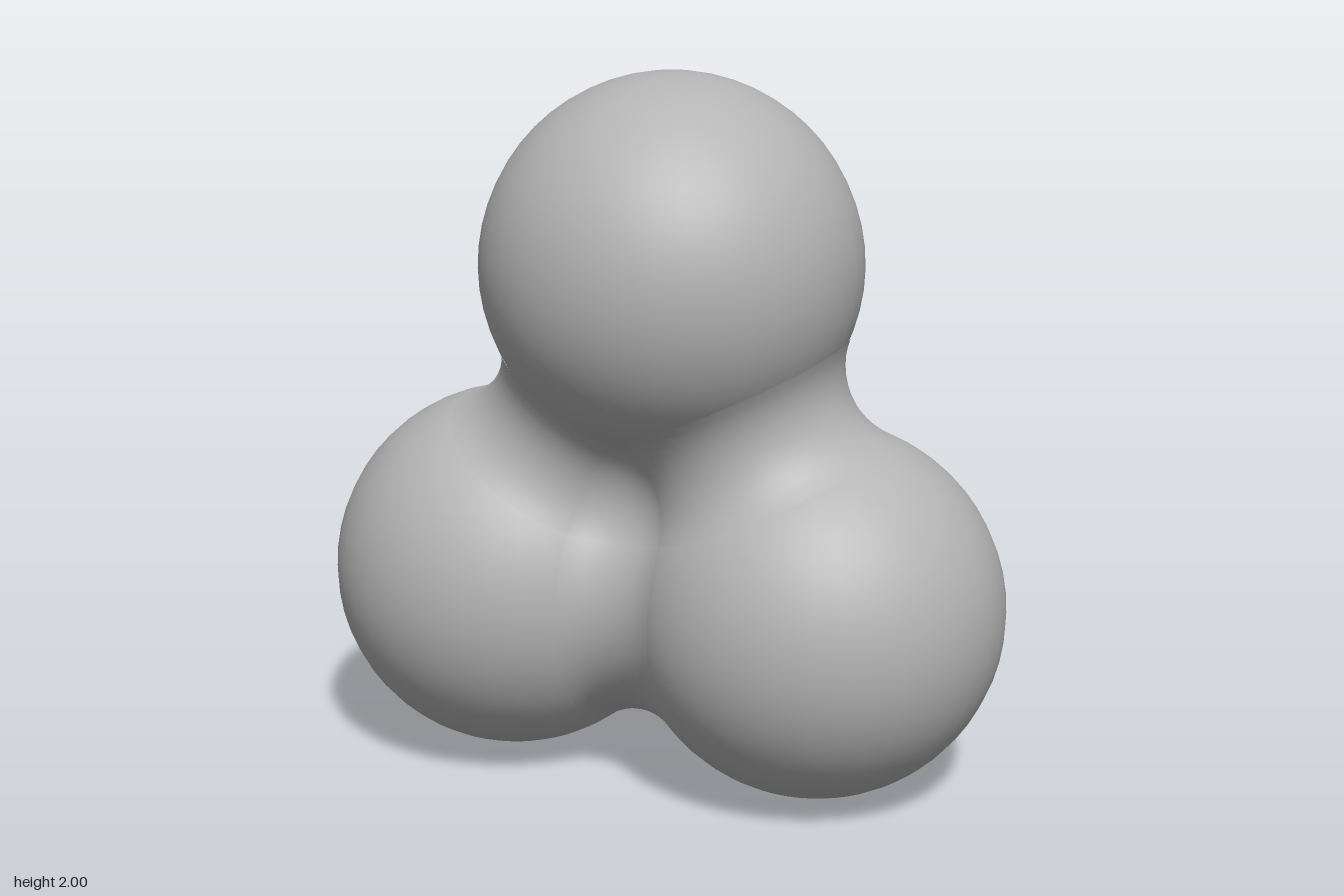
import * as THREE from 'three';

const R = 0.525;      // lobe radius
const FILLET = 0.22;  // radius of the concave blend between lobes
const V = (x, y, z) => new THREE.Vector3(x, y, z);

// Concave ring of revolution that is tangent to two neighbouring lobes
function neckBetween(a, b, material) {
  const axis = b.clone().sub(a);
  const half = axis.length() / 2;
  const reach = Math.sqrt((R + FILLET) ** 2 - half ** 2);
  const sweep = Math.atan2(half, reach);
  const profile = [];
  for (let i = 0; i <= 12; i++) {
    const t = -sweep + (2 * sweep * i) / 12;
    profile.push(new THREE.Vector2(reach - FILLET * Math.cos(t), FILLET * Math.sin(t)));
  }
  const mesh = new THREE.Mesh(new THREE.LatheGeometry(profile, 48), material);
  mesh.position.copy(a).add(b).multiplyScalar(0.5);
  mesh.quaternion.setFromUnitVectors(V(0, 1, 0), axis.normalize());
  return mesh;
}

// Concave spherical triangle that fills the hollow where all three lobes meet
function hollowPatch(centres, pivot, material) {
  const dirs = centres.map(c => c.clone().sub(pivot).normalize());
  const n = 14, positions = [], normals = [], index = [];
  const id = (i, j) => (i * (i + 1)) / 2 + j;
  for (let i = 0; i <= n; i++) {
    for (let j = 0; j <= i; j++) {
      const d = V(0, 0, 0)
        .addScaledVector(dirs[0], n - i)
        .addScaledVector(dirs[1], i - j)
        .addScaledVector(dirs[2], j)
        .normalize();
      const p = pivot.clone().addScaledVector(d, FILLET);
      positions.push(p.x, p.y, p.z);
      normals.push(-d.x, -d.y, -d.z);
    }
  }
  // Wind the corners so that the face looks towards the pivot
  const facing = dirs[1].clone().sub(dirs[0]).cross(dirs[2].clone().sub(dirs[0])).dot(dirs[0]) < 0;
  const tri = (a, b, c) => (facing ? index.push(a, b, c) : index.push(a, c, b));
  for (let i = 0; i < n; i++) {
    for (let j = 0; j <= i; j++) {
      tri(id(i, j), id(i + 1, j), id(i + 1, j + 1));
      if (j < i) tri(id(i, j), id(i + 1, j + 1), id(i, j + 1));
    }
  }
  const g = new THREE.BufferGeometry();
  g.setAttribute('position', new THREE.Float32BufferAttribute(positions, 3));
  g.setAttribute('normal', new THREE.Float32BufferAttribute(normals, 3));
  g.setIndex(index);
  return new THREE.Mesh(g, material);
}

export function createModel() {
  const group = new THREE.Group();
  group.name = 'blendedLobes';
  const grey = new THREE.MeshStandardMaterial({ color: 0xb4b4b4 });
  grey.name = 'grey';
  const add = (mesh, name) => { mesh.name = name; group.add(mesh); };

  const top = V(0.075, 1.475, 0.065);
  const right = V(-0.465, 0.54, 0.045);
  const left = V(0.46, 0.525, -0.075);
  const centres = [top, right, left];

  // Round lobes
  ['topLobe', 'rightLobe', 'leftLobe'].forEach((name, i) => {
    const lobe = new THREE.Mesh(new THREE.SphereGeometry(R, 40, 28), grey);
    lobe.position.copy(centres[i]);
    add(lobe, name);
  });

  // Necks joining each pair
  add(neckBetween(right, top, grey), 'topRightNeck');
  add(neckBetween(left, top, grey), 'topLeftNeck');
  add(neckBetween(right, left, grey), 'lowerNeck');

  // Front and back hollows, centred on the circumcentre of the three lobes
  const a2 = right.distanceToSquared(left);
  const b2 = top.distanceToSquared(left);
  const c2 = top.distanceToSquared(right);
  const w = [a2 * (b2 + c2 - a2), b2 * (a2 + c2 - b2), c2 * (a2 + b2 - c2)];
  const sum = w[0] + w[1] + w[2];
  const middle = V(0, 0, 0);
  centres.forEach((c, i) => middle.addScaledVector(c, w[i] / sum));
  const normal = right.clone().sub(top).cross(left.clone().sub(top)).normalize();
  const height = Math.sqrt((R + FILLET) ** 2 - middle.distanceToSquared(top));
  for (const [side, name] of [[1, 'frontHollow'], [-1, 'backHollow']]) {
    const pivot = middle.clone().addScaledVector(normal, side * height);
    add(hollowPatch(centres, pivot, grey), name);
  }
  return group;
}
